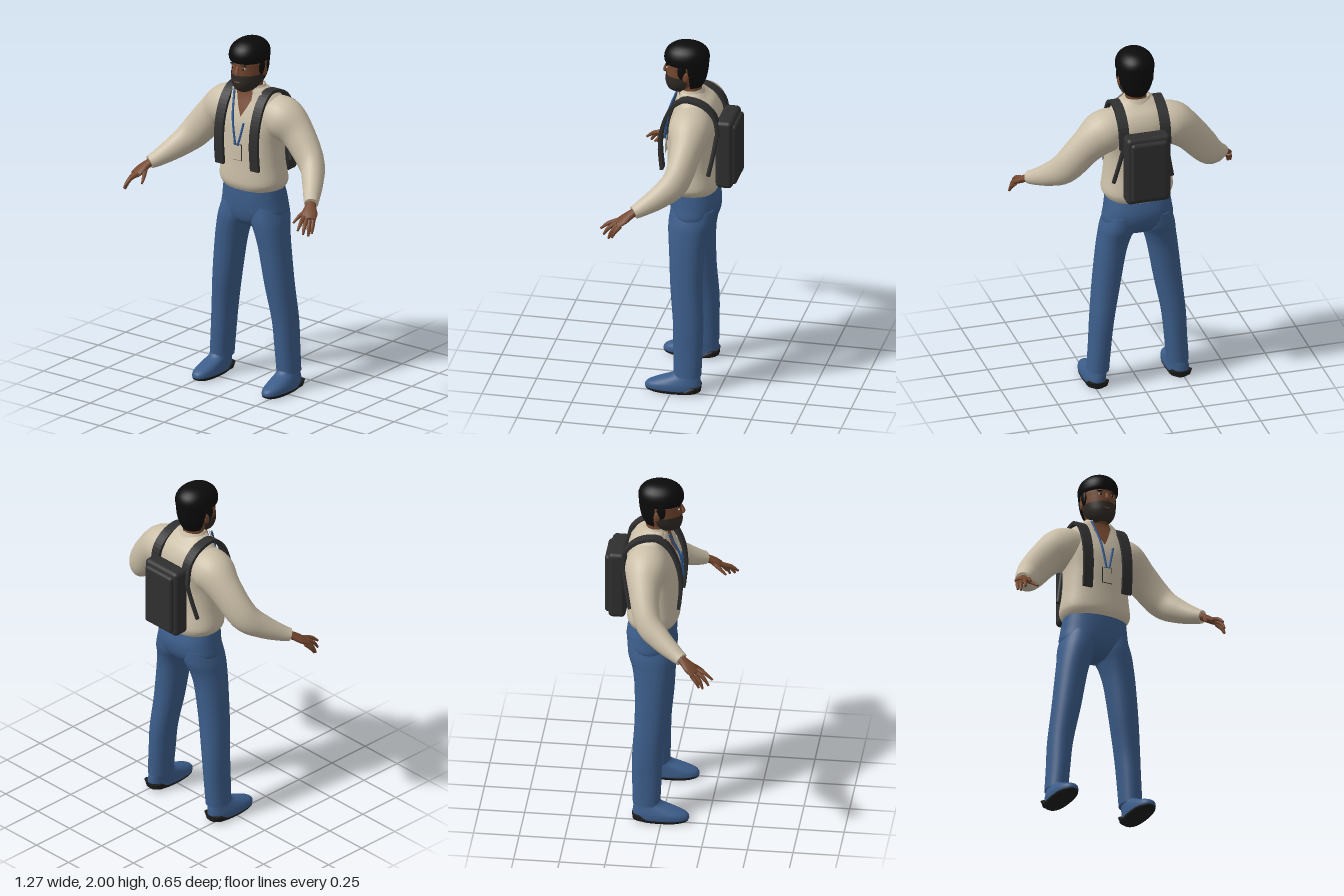
import * as THREE from 'three';
import { RoundedBoxGeometry } from 'three/addons/geometries/RoundedBoxGeometry.js';

const V = (x, y, z) => new THREE.Vector3(x, y, z);

// Skin over rings of points; rings advance along the axis they wind around.
function skin(rings, closed = true, caps = true) {
  const pos = [], idx = [], n = rings[0].length;
  rings.forEach(r => r.forEach(p => pos.push(p.x, p.y, p.z)));
  for (let i = 0; i + 1 < rings.length; i++)
    for (let j = 0; j < (closed ? n : n - 1); j++) {
      const k = (j + 1) % n, a = i * n + j, b = i * n + k;
      idx.push(a, b, b + n, a, b + n, a + n);
    }
  if (closed && caps)
    [rings[0], rings[rings.length - 1]].forEach((r, end) => {
      const base = pos.length / 3, c = V(0, 0, 0);
      r.forEach(p => { pos.push(p.x, p.y, p.z); c.addScaledVector(p, 1 / n); });
      pos.push(c.x, c.y, c.z);
      for (let j = 0; j < n; j++) {
        const a = base + j, b = base + (j + 1) % n;
        end ? idx.push(a, b, base + n) : idx.push(b, a, base + n);
      }
    });
  const g = new THREE.BufferGeometry();
  g.setAttribute('position', new THREE.Float32BufferAttribute(pos, 3));
  g.setIndex(idx);
  g.computeVertexNormals();
  return g;
}

// Smooth a table of sections with a Catmull-Rom rule.
function smooth(s, k = 5) {
  const out = [], at = i => s[Math.min(Math.max(i, 0), s.length - 1)];
  for (let i = 0; i + 1 < s.length; i++)
    for (let q = 0; q < k; q++) {
      const t = q / k;
      out.push(s[i].map((_, c) => {
        const [a, b, d, e] = [at(i - 1)[c], at(i)[c], at(i + 1)[c], at(i + 2)[c]];
        return b + 0.5 * t * (d - a + t * (2 * a - 5 * b + 4 * d - e + t * (3 * (b - d) + e - a)));
      }));
    }
  return [...out, s[s.length - 1]];
}

// Upright loft; each section is [y, centreX, radiusX, zFront, zBack], bottom to top.
function loft(sections, { power = 2, from = 0, to = Math.PI * 2, seg = 36 } = {}) {
  const closed = to - from > 6.28;
  const bend = v => Math.sign(v) * Math.abs(v) ** (2 / power);
  return skin(smooth(sections).map(([y, cx, rx, zf, zb]) =>
    Array.from({ length: closed ? seg : seg + 1 }, (_, j) => {
      const a = from + (to - from) * j / seg;
      return V(cx + rx * bend(Math.sin(a)), y, (zf + zb) / 2 + (zf - zb) / 2 * bend(Math.cos(a)));
    })), closed);
}

// Limb along a curve; each point is [x, y, z, sideRadius, thicknessRadius].
function limb(points, seg = 16, k = 6) {
  const s = smooth(points, k), P = s.map(p => V(p[0], p[1], p[2])), up = V(0, 1, 0);
  return skin(s.map((p, i) => {
    const t = P[Math.min(i + 1, P.length - 1)].clone().sub(P[Math.max(i - 1, 0)]).normalize();
    const side = up.clone().cross(t).normalize(), nor = t.clone().cross(side);
    return Array.from({ length: seg }, (_, j) => {
      const a = j / seg * Math.PI * 2;
      return P[i].clone().addScaledVector(side, p[3] * Math.cos(a)).addScaledVector(nor, (p[4] ?? p[3]) * Math.sin(a));
    });
  }));
}

function mirrored(g) {
  const m = g.clone().scale(-1, 1, 1);
  if (!m.index) m.setIndex([...Array(m.attributes.position.count).keys()]);
  const a = m.index.array;
  for (let i = 0; i < a.length; i += 3) [a[i], a[i + 1]] = [a[i + 1], a[i]];
  return m;
}

const TORSO = [[1.14, 0, .172, .055, -.205], [1.165, 0, .19, .068, -.214], [1.2, 0, .198, .072, -.215],
  [1.3, 0, .185, .068, -.2], [1.42, 0, .18, .066, -.2], [1.52, 0, .195, .058, -.215], [1.6, 0, .195, .035, -.212],
  [1.66, 0, .165, .012, -.185], [1.695, 0, .125, .002, -.145], [1.725, 0, .075, 0, -.115]];
const FINE = smooth(TORSO);
const POWER = 2.3;

// Depth of the shirt front at a given x and y.
function frontZ(x, y) {
  let i = FINE.findIndex(s => s[0] >= y);
  i = i < 1 ? FINE.length - 1 : i;
  const a = FINE[i - 1], b = FINE[i], t = Math.min(1, (y - a[0]) / (b[0] - a[0]));
  const [, , rx, zf, zb] = a.map((v, c) => v + (b[c] - v) * t);
  const r = Math.max(0, 1 - Math.abs(x / rx) ** POWER) ** (1 / POWER);
  return (zf + zb) / 2 + (zf - zb) / 2 * r;
}

// Thin panel lying on the shirt front; rows are [y, xLeft, xRight], bottom to top.
function panel(rows, off) {
  const fine = [];
  rows.forEach((r, i) => {
    for (let q = 0; i + 1 < rows.length && q < 6; q++) fine.push(r.map((v, c) => v + (rows[i + 1][c] - v) * q / 6));
  });
  fine.push(rows[rows.length - 1]);
  return skin(fine.map(([y, a, b]) => Array.from({ length: 9 }, (_, j) => {
    const x = a + (b - a) * j / 8;
    return V(x, y, frontZ(x, y) + off);
  })), false);
}

// Webbing strap: a thick side profile of [z, y] points extruded across x.
function strap(points, x0, width, half) {
  const p = new THREE.SplineCurve(points.map(([z, y]) => new THREE.Vector2(-z, y))).getPoints(36);
  const edge = s => p.map((v, i) => {
    const t = p[Math.min(i + 1, p.length - 1)].clone().sub(p[Math.max(i - 1, 0)]).normalize();
    return new THREE.Vector2(v.x - t.y * half * s, v.y + t.x * half * s);
  });
  const shape = new THREE.Shape([...edge(1), ...edge(-1).reverse()]);
  return new THREE.ExtrudeGeometry(shape, { depth: width, bevelEnabled: false }).rotateY(Math.PI / 2).translate(x0, 0, 0);
}

const ball = (x, y, z, a, b, c) => new THREE.SphereGeometry(1, 18, 12).scale(a, b, c).translate(x, y, z);

export function createModel() {
  const model = new THREE.Group();
  const mat = (name, color, side = THREE.FrontSide) => {
    const m = new THREE.MeshStandardMaterial({ color, side });
    m.name = name;
    return m;
  };
  const brown = mat('skin', 0x75482f, THREE.DoubleSide), black = mat('hair', 0x0b0b0b, THREE.DoubleSide);
  const stubble = mat('beard', 0x302a25, THREE.DoubleSide), cream = mat('shirt', 0xcbbfa8, THREE.DoubleSide);
  const denim = mat('denim', 0x3c5d8a), canvas = mat('canvas', 0x2f2f30);
  const blue = mat('lanyard', 0x2f5c99), rubber = mat('sole', 0x1d1c1c), white = mat('eyeWhite', 0xb8b0a6);
  const add = (name, g, m) => {
    const mesh = new THREE.Mesh(g, m);
    mesh.name = name;
    model.add(mesh);
  };
  const pair = (name, g, m) => { add(name + 'Left', g, m); add(name + 'Right', mirrored(g), m); };

  // Trousers and shoes
  add('hips', loft([[.915, 0, .05, -.01, -.12], [.95, 0, .14, .03, -.175], [1, 0, .195, .047, -.208],
    [1.07, 0, .189, .053, -.218], [1.145, 0, .178, .052, -.2]], { power: 2.3 }), denim);
  pair('trouserLeg', loft([[.1, .226, .06, -.01, -.16], [.25, .215, .061, -.004, -.165], [.4, .203, .066, 0, -.166],
    [.6, .175, .076, .02, -.156], [.8, .147, .083, .033, -.16], [.9, .126, .09, .042, -.175],
    [.97, .106, .099, .045, -.198], [1.05, .095, .085, .035, -.205]], { power: 2.2 }), denim);
  pair('shoe', loft([[.012, .235, .057, .14, -.15], [.025, .235, .062, .15, -.157], [.05, .235, .061, .137, -.16],
    [.075, .232, .056, .08, -.158], [.1, .228, .051, .01, -.153], [.125, .226, .047, -.015, -.145]], { power: 2.3 }), denim);
  pair('sole', loft([[0, .235, .05, .125, -.14], [.01, .235, .06, .144, -.156], [.02, .235, .062, .147, -.16]],
    { power: 2.3 }), rubber);
  pair('heel', loft([[.015, .235, .06, -.03, -.16], [.045, .235, .058, -.11, -.163]], { power: 2.3 }), rubber);

  // Shirt with sleeves, collar and open neck
  add('shirtBody', loft(TORSO, { power: POWER, seg: 48 }), cream);
  pair('sleeve', limb([[.09, 1.575, -.09, .1, .1], [.19, 1.552, -.09, .118, .12], [.29, 1.475, -.09, .087, .098],
    [.4, 1.345, -.058, .07, .085], [.465, 1.275, .02, .058, .066], [.52, 1.225, .105, .045, .046],
    [.547, 1.207, .145, .038, .036]], 24), cream);
  add('openNeck', panel([[1.565, -.001, .001], [1.62, -.03, .03], [1.69, -.06, .06], [1.72, -.05, .05]], .006), brown);
  add('collarBand', loft([[1.68, 0, .098, .012, -.15], [1.705, 0, .088, .01, -.134], [1.735, 0, .074, .005, -.12]],
    { from: .75, to: Math.PI * 2 - .75 }), cream);
  pair('collarFlap', panel([[1.635, .064, .068], [1.66, .052, .095], [1.7, .052, .1], [1.72, .05, .07]], .016), cream);

  // Lanyard and badge
  add('lanyardLong', limb([[-.064, 1.705, .02, .006], [-.035, 1.56, .076, .006], [-.008, 1.41, .09, .006]], 8), blue);
  add('lanyardShort', limb([[.038, 1.54, .076, .006], [.024, 1.475, .082, .006], [.008, 1.41, .09, .006]], 8), blue);
  add('badgeRim', panel([[1.32, -.03, .03], [1.415, -.03, .03]], .014), canvas);
  add('badge', panel([[1.323, -.027, .027], [1.412, -.027, .027]], .017), cream);

  // Backpack
  add('packBody', new RoundedBoxGeometry(.25, .4, .095, 4, .025).translate(0, 1.39, -.262), canvas);
  add('packPanel', new RoundedBoxGeometry(.21, .355, .06, 4, .02).translate(0, 1.388, -.3), canvas);
  pair('shoulderStrap', strap([[.079, 1.28], [.09, 1.42], [.076, 1.54], [.032, 1.645], [-.03, 1.7],
    [-.09, 1.703], [-.16, 1.675], [-.215, 1.61], [-.232, 1.5]], .09, .056, .009), canvas);
  pair('lowerStrap', limb([[.12, 1.5, -.222, .012], [.14, 1.4, -.208, .012], [.165, 1.28, -.185, .012]], 8), canvas);

  // Head
  add('neck', loft([[1.6, 0, .07, .0, -.13], [1.68, 0, .06, .0, -.115], [1.79, 0, .058, .01, -.115]]), brown);
  add('head', loft([[1.712, 0, .03, .045, -.02], [1.728, 0, .054, .068, -.06], [1.76, 0, .074, .08, -.1],
    [1.8, 0, .084, .079, -.12], [1.85, 0, .09, .08, -.135], [1.9, 0, .092, .077, -.14], [1.96, 0, .07, .045, -.11]]), brown);
  add('beard', loft([[1.708, 0, .03, .048, -.025], [1.726, 0, .058, .073, -.065], [1.76, 0, .079, .085, -.105],
    [1.79, 0, .087, .085, -.12], [1.812, 0, .09, .084, -.126]], { from: -1.9, to: 1.9 }), stubble);
  add('mouth', ball(0, 1.773, .084, .02, .004, .004), brown);
  add('nose', limb([[0, 1.862, .076, .008, .007], [0, 1.84, .086, .011, .009], [0, 1.822, .091, .016, .009],
    [0, 1.812, .086, .008, .005]], 12), brown);
  pair('ear', ball(.093, 1.825, -.045, .009, .03, .018), brown);
  pair('eye', ball(.035, 1.853, .07, .013, .006, .007), white);
  pair('iris', ball(.035, 1.853, .075, .006, .006, .004), black);
  pair('eyebrow', ball(.036, 1.872, .071, .02, .004, .008), black);

  // Hair
  add('hairTop', loft([[1.882, 0, .1, .086, -.15], [1.9, 0, .105, .092, -.155], [1.93, 0, .103, .09, -.156],
    [1.96, 0, .09, .075, -.143], [1.984, 0, .064, .045, -.115], [1.996, 0, .034, .012, -.08],
    [2, 0, .004, -.026, -.036]], { power: 2.1 }), black);
  add('hairBack', loft([[1.745, 0, .06, .02, -.118], [1.78, 0, .08, .04, -.135], [1.82, 0, .094, .06, -.146],
    [1.86, 0, .101, .08, -.152], [1.9, 0, .105, .09, -.155]], { from: 1.75, to: Math.PI * 2 - 1.75 }), black);
  pair('sideburn', ball(.089, 1.855, -.022, .012, .045, .025), black);

  // Hands
  pair('palm', limb([[.525, 1.223, .115, .026, .024], [.55, 1.2, .155, .03, .021], [.572, 1.172, .195, .044, .019],
    [.588, 1.15, .225, .04, .014]]), brown);
  const fingers = {
    index: [[.562, 1.16, .232], [.576, 1.143, .28], [.585, 1.112, .32]],
    middle: [[.58, 1.152, .234], [.597, 1.123, .275], [.605, 1.087, .3]],
    ring: [[.594, 1.146, .224], [.611, 1.11, .254], [.62, 1.072, .27]],
    little: [[.606, 1.146, .206], [.621, 1.115, .233], [.628, 1.083, .25]],
    thumb: [[.55, 1.188, .172], [.526, 1.156, .222], [.512, 1.124, .262]],
  };
  for (const [name, p] of Object.entries(fingers))
    pair(name + 'Finger', limb(p.map((q, i) => [...q, [.013, .011, .006][i]]), 10), brown);

  return model;
}
